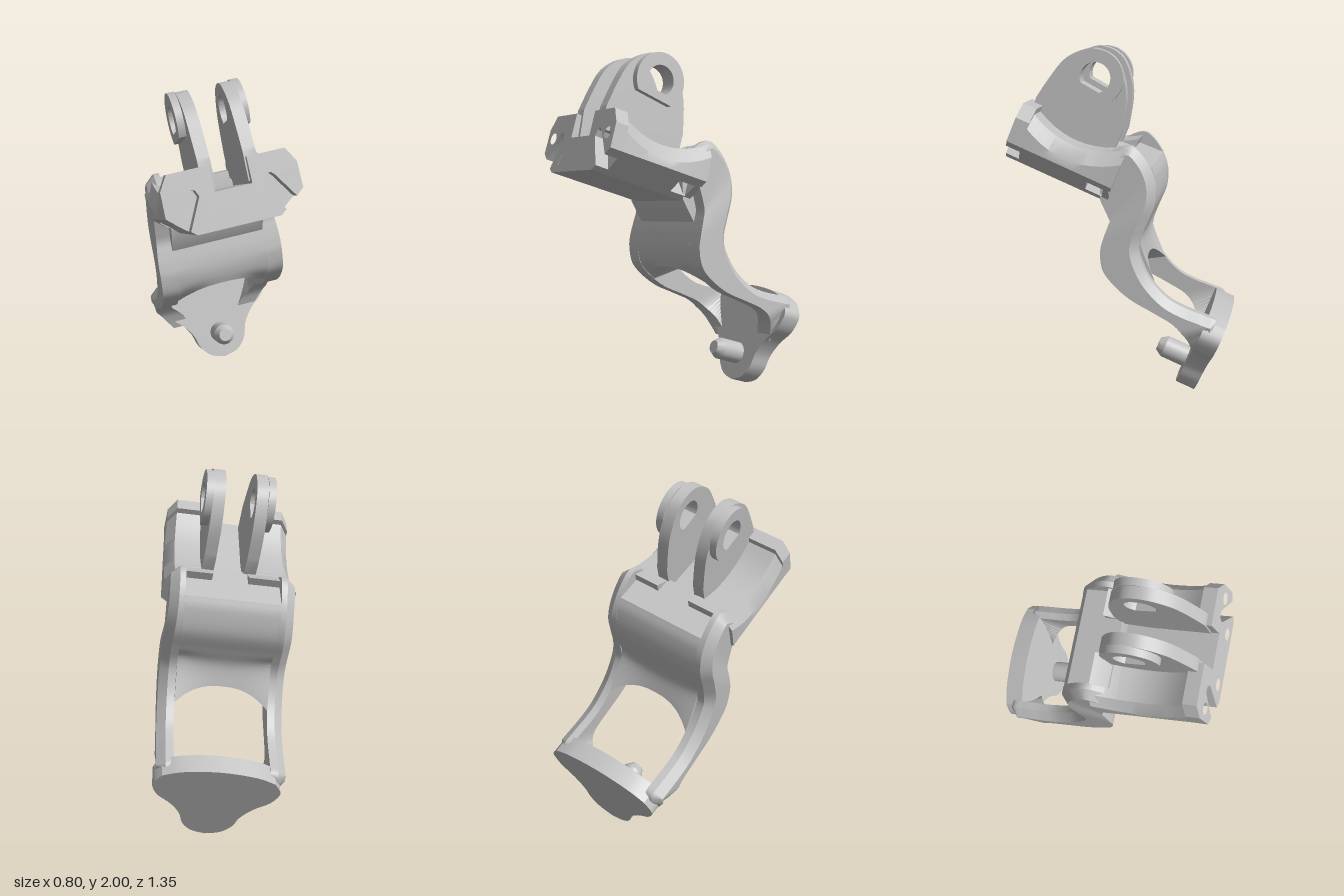
import * as THREE from 'three';
import { toCreasedNormals } from 'three/addons/utils/BufferGeometryUtils.js';

const metal = new THREE.MeshStandardMaterial({ color: 0xc0c0c0 });
metal.name = 'light grey';

const V2 = (a) => new THREE.Vector2(a[0], a[1]);
const spline = (pts, n) => new THREE.SplineCurve(pts.map(V2)).getPoints(n).map((p) => [p.x, p.y]);

function add(parent, name, geometry) {
  const mesh = new THREE.Mesh(geometry, metal);
  mesh.name = name;
  parent.add(mesh);
  return mesh;
}

// Skin closed rings of [x, y, z] with capped ends; flat(p) gives the 2D cap coordinates
function loft(rings, flat) {
  const tris = [];
  const n = rings[0].length;
  for (let i = 0; i < rings.length - 1; i++) {
    const a = rings[i], b = rings[i + 1];
    for (let j = 0; j < n; j++) {
      const k = (j + 1) % n;
      tris.push([a[j], a[k], b[k]], [a[j], b[k], b[j]]);
    }
  }
  const cap = (ring, reverse) => {
    const c = ring.map((p) => V2(flat(p)));
    const sign = Math.sign(THREE.ShapeUtils.area(c));
    for (const f of THREE.ShapeUtils.triangulateShape(c.slice(), [])) {
      const same = Math.sign(THREE.ShapeUtils.area(f.map((i) => c[i]))) === sign;
      const t = f.map((i) => ring[i]);
      tris.push(same !== reverse ? t : t.reverse());
    }
  };
  cap(rings[0], true);
  cap(rings[rings.length - 1], false);
  // Turn the skin outward
  let volume = 0;
  for (const [a, b, c] of tris) {
    volume += a[0] * (b[1] * c[2] - b[2] * c[1]) + a[1] * (b[2] * c[0] - b[0] * c[2])
      + a[2] * (b[0] * c[1] - b[1] * c[0]);
  }
  if (volume < 0) tris.forEach((t) => t.reverse());
  const g = new THREE.BufferGeometry();
  g.setAttribute('position', new THREE.Float32BufferAttribute(tris.flat(2), 3));
  return toCreasedNormals(g, 0.5);
}
const sideFlat = (p) => [p[2], p[1]];
const frontFlat = (p) => [p[0], p[1]];

// Extrude a (z, y) shape across x, from x0 to x1
function extrudeAcross(shape, x0, x1) {
  const g = new THREE.ExtrudeGeometry(shape, { depth: x1 - x0, bevelEnabled: false, curveSegments: 24 });
  g.rotateY(-Math.PI / 2).translate(x1, 0, 0);
  return toCreasedNormals(g, 0.5);
}

// The body drifts slightly sideways with height
const drift = (y) => 0.035 * (y - 1);

// S-shaped side rails, swept from shoulder to foot, with a chamfered back edge
function buildRails(parent) {
  const backCurve = new THREE.SplineCurve([[0.08, 1.41], [-0.06, 1.475], [-0.15, 1.41], [-0.21, 1.29],
    [-0.215, 1.16], [-0.17, 1.03], [-0.14, 0.93], [-0.15, 0.85], [-0.21, 0.735], [-0.31, 0.635],
    [-0.41, 0.585], [-0.52, 0.55], [-0.6, 0.515], [-0.595, 0.42], [-0.56, 0.29]].map(V2));
  const front = spline([[0.08, 1.33], [0.045, 1.25], [0.02, 1.15], [0.012, 1.09], [0.03, 1.03], [0.055, 0.95],
    [0.067, 0.88], [0.052, 0.78], [-0.01, 0.7], [-0.11, 0.62], [-0.24, 0.555], [-0.36, 0.49],
    [-0.43, 0.41], [-0.458, 0.34], [-0.475, 0.27]], 70);
  const ramp = THREE.MathUtils.smoothstep;
  for (const s of [1, -1]) {
    const rings = front.map(([fz, fy], i) => {
      const b = backCurve.getPoint(i / 70), t = backCurve.getTangent(i / 70);
      const inset = 0.045;
      const point = (x, z, y) => {
        const taper = Math.min(1, 1 - (0.45 - y) * 1.6);
        return [s * x * taper + drift(y), y, z];
      };
      const outer = 0.365 - 0.013 * ramp(b.y, 1.0, 1.35);
      const inner = 0.27 - 0.05 * (1 - ramp(fy, 0.33, 0.5));
      return [point(0.27, b.x, b.y), point(outer - 0.05, b.x, b.y),
        point(outer, b.x - t.y * inset, b.y + t.x * inset), point(outer, fz, fy), point(inner, fz, fy)];
    });
    add(parent, s > 0 ? 'leftRail' : 'rightRail', loft(rings, frontFlat));
  }
}

// Web between the rails: rear shelf on top, arched window edge below
function buildWeb(parent) {
  const rings = [];
  for (let i = 0; i <= 20; i++) {
    const x = -0.27 + (0.54 * i) / 20;
    const k = Math.abs(x / 0.27) ** 2.5;
    const mix = (a, b) => [a[0] + (b[0] - a[0]) * k, a[1] + (b[1] - a[1]) * k];
    const back = spline([[-0.185, 1.36], [-0.21, 1.29], [-0.215, 1.16], [-0.17, 1.03], [-0.14, 0.93],
      mix([-0.162, 0.81], [-0.23, 0.715])], 28);
    const front = spline([mix([0.05, 0.77], [-0.04, 0.675]), mix([0.063, 0.82], [0.045, 0.77]),
      [0.067, 0.88], [0.055, 0.95], [0.03, 1.03]], 16);
    rings.push([...back, ...front, [0.094, 1.156], [0.094, 1.3], [0.05, 1.44]]
      .map(([z, y]) => [x + drift(y), y, z]));
  }
  add(parent, 'web', loft(rings, sideFlat));
}

// Front block with a channel along its top and slots cut into its lower corners
function buildBlock(parent) {
  const topAt = (w) => 1.285 + 1.1 * (w - 0.75) ** 2;
  const half = (s, top, slotted) => {
    const c = s * 0.1 + 0.01;
    const pts = [[c, 1.245], [c, top], [s * 0.315, top], [s * 0.364, top - 0.08], [s * 0.367, 1.165]];
    if (slotted) {
      for (const [u, v] of [[0.325, 1.13], [0.235, 1.262], [0.216, 1.28], [0.188, 1.274], [0.173, 1.24], [0.255, 1.074]]) {
        pts.push([s * u, v]);
      }
    }
    return [...pts, [s * 0.225, 1.05]];
  };
  const section = (top, slotted) => [...half(1, top, slotted), ...half(-1, top, slotted).reverse()];
  const block = new THREE.Group();
  block.name = 'block';
  block.position.x = 0.018;
  parent.add(block);

  const spans = [['blockRear', 0.45, 0.49, false], ['blockSlots', 0.49, 0.59, true], ['blockMiddle', 0.59, 0.995, false]];
  for (const [name, w0, w1, slotted] of spans) {
    const rings = [];
    for (let i = 0; i <= 8; i++) {
      const w = w0 + ((w1 - w0) * i) / 8;
      const widen = 1 + 0.06 * (0.995 - w);
      rings.push(section(topAt(w), slotted).map(([u, v]) => [u * widen, v, w]));
    }
    add(block, name, loft(rings, frontFlat));
  }

  // Front slice with four bolt holes
  const face = new THREE.Shape(section(1.385, true).map(V2));
  for (const s of [1, -1]) {
    for (const [u, v] of [[0.3, 1.25], [0.14, 1.12]]) {
      face.holes.push(new THREE.Path().absarc(s * u, v, 0.033, 0, Math.PI * 2, true));
    }
  }
  const slice = new THREE.ExtrudeGeometry(face, { depth: 0.08, bevelEnabled: false, curveSegments: 16 });
  add(block, 'blockFace', toCreasedNormals(slice.translate(0, 0, 0.995), 0.5));
}

// Pair of upright lugs with a flat-bottomed pin hole and an outer boss
function buildLugs(parent) {
  const [pz, py] = [0.155, 1.82];
  const hole = () => new THREE.Path().absarc(pz, py, 0.085, 4.4, -0.35, true);
  const plate = new THREE.Shape([...spline([[0.49, 1.69], [0.42, 1.8], [0.34, 1.905], [0.25, 1.96], [0.16, 1.975],
    [0.06, 1.93], [0.005, 1.83], [-0.015, 1.7], [0.005, 1.52]], 40), [0.05, 1.4], [0.2, 1.42], [0.53, 1.54]].map(V2));
  plate.holes.push(hole());
  const boss = new THREE.Shape();
  boss.absarc(pz, py, 0.155, -0.3, 4.35, false);
  boss.closePath();
  boss.holes.push(hole());
  const middle = 0.033;
  for (const s of [1, -1]) {
    const across = (a, b) => (s > 0 ? [middle + a, middle + b] : [middle - b, middle - a]);
    const name = s > 0 ? 'left' : 'right';
    add(parent, name + 'Lug', extrudeAcross(plate, ...across(0.087, 0.155)));
    add(parent, name + 'LugBoss', extrudeAcross(boss, ...across(0.153, 0.195)));
  }
}

// Bell-shaped foot plate with a chamfered peg
function buildFoot(parent) {
  const side = spline([[0, 0], [0.085, 0.025], [0.145, 0.09], [0.175, 0.18], [0.235, 0.265], [0.315, 0.335],
    [0.352, 0.4], [0.355, 0.45], [0.315, 0.515]], 36);
  const top = spline([[0.315, 0.515], [0.2, 0.56], [0, 0.582], [-0.2, 0.56], [-0.315, 0.515]], 20).slice(1, -1);
  const other = side.slice(1).reverse().map(([u, s]) => [-u, s]);
  const shape = new THREE.Shape([...side, ...top, ...other].map(V2));
  const g = new THREE.ExtrudeGeometry(shape, { depth: 0.115, bevelEnabled: false });
  add(parent, 'footPlate', toCreasedNormals(g.translate(0, 0.164, -0.437), 0.5));

  const profile = [[0.064, -0.34], [0.064, -0.18], [0.038, -0.14], [0, -0.14]].map(V2);
  const peg = new THREE.LatheGeometry(profile, 32).rotateX(Math.PI / 2);
  add(parent, 'peg', toCreasedNormals(peg, 0.4)).position.y = 0.325;
}

export function createModel() {
  const model = new THREE.Group();
  model.name = 'hingedLink';

  // Whole part leans slightly sideways and turns about its centre
  const lean = new THREE.Group();
  lean.name = 'link';
  const x = new THREE.Vector3(0.98, 0.15, -0.127).normalize();
  const y = new THREE.Vector3().crossVectors(new THREE.Vector3(0, 0, 1), x).normalize();
  const z = new THREE.Vector3().crossVectors(x, y);
  lean.quaternion.setFromRotationMatrix(new THREE.Matrix4().makeBasis(x, y, z));
  lean.position.set(0, 1, 0).sub(new THREE.Vector3(0, 1, 0).applyQuaternion(lean.quaternion));
  model.add(lean);

  buildRails(lean);
  buildWeb(lean);
  buildLugs(lean);

  // Block and foot share a frame pitched back
  const pitched = new THREE.Group();
  pitched.name = 'pitchedParts';
  pitched.rotation.x = -0.356;
  lean.add(pitched);
  buildBlock(pitched);
  buildFoot(pitched);
  return model;
}
